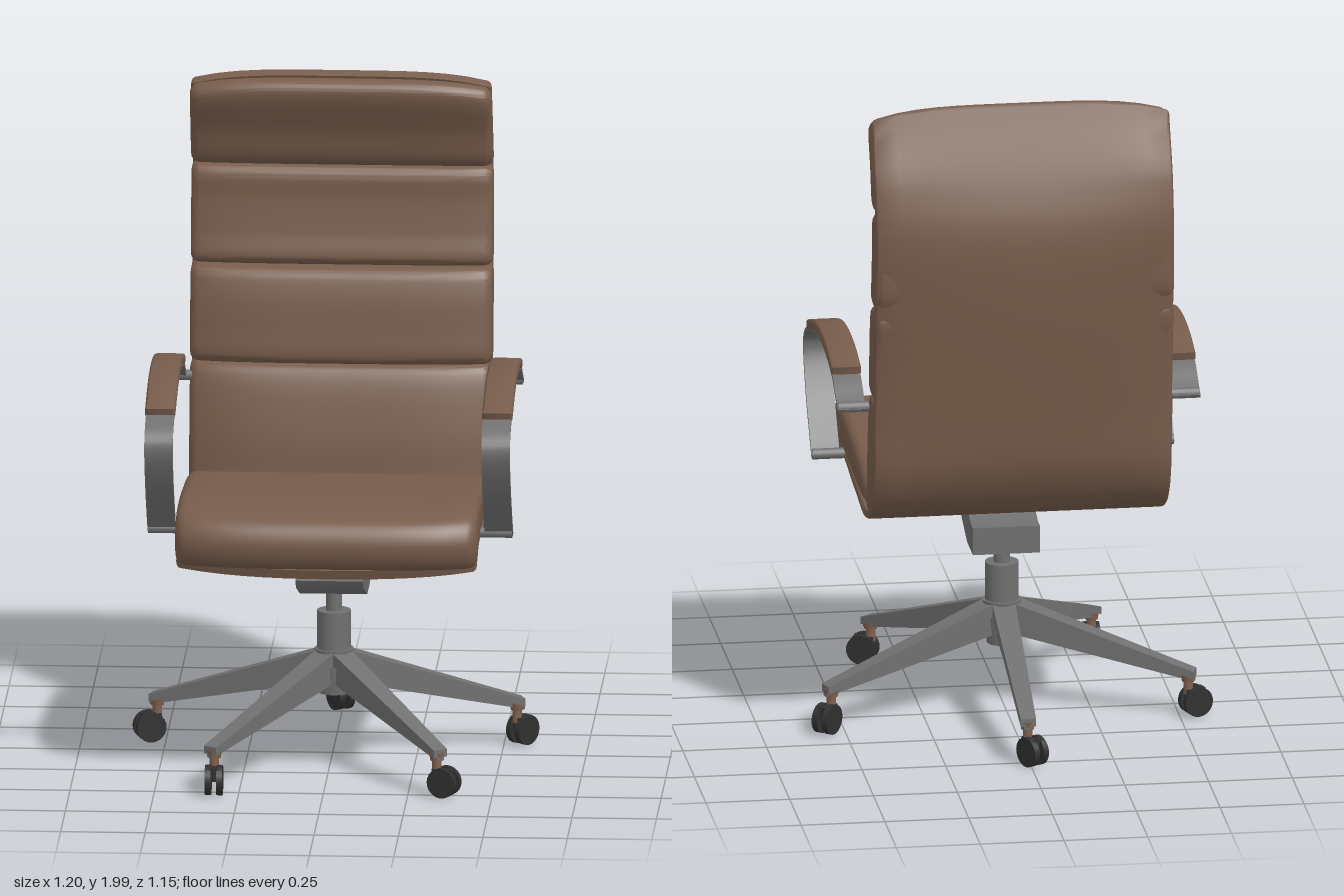
import * as THREE from 'three';
import { toCreasedNormals } from 'three/addons/utils/BufferGeometryUtils.js';

const material = (name, color, side = THREE.FrontSide) =>
  Object.assign(new THREE.MeshStandardMaterial({ color, side }), { name });

const CX = 0.007, CZ = 0.053; // axis of the seat and of the swivel column
const HALF = 0.447;           // half width of the upholstery
const smooth = THREE.MathUtils.smoothstep;

// Smooth line through [z, y] points
function spline(points, closed, count) {
  const curve = new THREE.CatmullRomCurve3(points.map(([z, y]) => new THREE.Vector3(z, y, 0)), closed);
  const list = curve.getPoints(count).map(p => new THREE.Vector2(p.x, p.y));
  if (closed) list.pop();
  return list;
}

// Closed outline of a strip of even thickness that follows a line
function strip(points, thickness, count = 48) {
  const line = spline(points, false, count);
  const side = sign => line.map((p, i) => {
    const a = line[Math.max(i - 1, 0)], b = line[Math.min(i + 1, count)];
    const t = b.clone().sub(a).normalize();
    return new THREE.Vector2(p.x - t.y * sign * thickness / 2, p.y + t.x * sign * thickness / 2);
  });
  return [...side(1), ...side(-1).reverse()];
}

// Side outline extruded across x with rounded edges, then bent by a rule
function across(outline, width, bevel, bend, steps = 14) {
  const geo = new THREE.ExtrudeGeometry(new THREE.Shape(outline), {
    depth: width - 2 * bevel, steps, bevelEnabled: bevel > 0, bevelSize: bevel,
    bevelThickness: bevel, bevelOffset: -bevel, bevelSegments: 4,
  });
  geo.translate(0, 0, bevel - width / 2).rotateY(-Math.PI / 2);
  if (bend) {
    const pos = geo.attributes.position, p = new THREE.Vector3();
    for (let i = 0; i < pos.count; i++) {
      p.fromBufferAttribute(pos, i);
      bend(p, (p.x / HALF) ** 2);
      pos.setXYZ(i, p.x, p.y, p.z);
    }
  }
  return toCreasedNormals(geo, 0.8);
}

export function createModel() {
  const leather = material('brown leather', 0x775c4b);
  const metal = material('grey metal', 0x707070);
  const black = material('black plastic', 0x303030);
  const copper = material('copper bushing', 0x80604c);
  const root = new THREE.Group();
  root.name = 'officeChair';

  const add = (parent, name, geo, mat, x = 0, y = 0, z = 0) => {
    const mesh = new THREE.Mesh(geo, mat);
    mesh.name = name;
    mesh.position.set(x, y, z);
    parent.add(mesh);
    return mesh;
  };

  // Curved front edge of the seat
  const roundFront = (p, s) => { if (p.y < 1) p.z -= 0.05 * s * s * smooth(p.z, 0.3, 0.55); };
  const roundTop = (p, s) => { p.y -= 0.03 * s * s * smooth(p.y, 1.75, 1.98); };

  // One continuous shell under the seat and behind the back
  const shellLine = [[0.51, 0.67], [0.4, 0.705], [0.25, 0.722], [0, 0.712], [-0.2, 0.7], [-0.32, 0.755],
    [-0.395, 0.87], [-0.425, 1.05], [-0.465, 1.44], [-0.463, 1.63], [-0.43, 1.76], [-0.338, 1.987]];
  add(root, 'shell', across(strip(shellLine, 0.03, 70), 0.89, 0.012, (p, s) => {
    roundFront(p, s);
    roundTop(p, s);
    if (p.z > 0) p.y += 0.02 * s * smooth(p.z, 0, 0.4);
    if (p.y > 0.8 && p.y < 1.8) p.z += 0.035 * s * Math.sin((p.y - 0.8) * Math.PI);
  }), leather, CX);

  // Seat cushion
  const seat = [[0.558, 0.77], [0.53, 0.825], [0.455, 0.85], [0.32, 0.86], [0.1, 0.845], [-0.17, 0.81],
    [-0.205, 0.79], [-0.205, 0.735], [-0.15, 0.722], [0.25, 0.735], [0.4, 0.718], [0.5, 0.685], [0.54, 0.705]];
  add(root, 'seatCushion', across(spline(seat, true, 70), 2 * HALF, 0.03, roundFront), leather, CX);

  // Four back cushions from the lumbar pad up to the headrest
  const backPads = {
    lumbarCushion: [[-0.205, 0.75], [-0.207, 0.82], [-0.222, 0.93], [-0.262, 1.08], [-0.285, 1.108], [-0.36, 1.11],
      [-0.413, 1.1], [-0.4, 0.95], [-0.365, 0.83], [-0.3, 0.745], [-0.23, 0.725]],
    lowerBackCushion: [[-0.268, 1.13], [-0.273, 1.22], [-0.29, 1.33], [-0.312, 1.385], [-0.345, 1.398],
      [-0.44, 1.39], [-0.43, 1.25], [-0.41, 1.12], [-0.29, 1.113]],
    upperBackCushion: [[-0.32, 1.42], [-0.335, 1.5], [-0.35, 1.6], [-0.355, 1.67], [-0.375, 1.693],
      [-0.447, 1.69], [-0.455, 1.6], [-0.445, 1.41], [-0.345, 1.402]],
    headCushion: [[-0.335, 1.72], [-0.3, 1.82], [-0.255, 1.92], [-0.25, 1.955], [-0.265, 1.975], [-0.295, 1.982],
      [-0.325, 1.95], [-0.4, 1.8], [-0.435, 1.71], [-0.37, 1.7]],
  };
  for (const [name, outline] of Object.entries(backPads)) {
    add(root, name, across(spline(outline, true, 60), 2 * HALF, 0.025, (p, s) => {
      roundTop(p, s);
      if (p.z > -0.42) p.z = -0.42 + (p.z + 0.42) * (1 - 0.2 * s * s);
    }), leather, CX);
  }

  // Armrests: bent metal band, padded top and pins into the upholstery
  const bandLine = [[-0.325, 1.06], [-0.28, 1.085], [-0.2, 1.13], [0, 1.163], [0.19, 1.148], [0.35, 1.1],
    [0.415, 1.06], [0.428, 1.02], [0.375, 0.9], [0.28, 0.775], [0.245, 0.735]];
  const padLine = [[-0.205, 1.143], [-0.1, 1.167], [0, 1.176], [0.1, 1.174], [0.19, 1.161], [0.345, 1.114]];
  const band = across(strip(bandLine, 0.012, 60), 0.084, 0, null, 1);
  const armPad = across(strip(padLine, 0.032), 0.09, 0.01, null, 1);
  const pin = new THREE.CylinderGeometry(0.016, 0.016, 0.11, 16).rotateZ(Math.PI / 2);
  for (const side of [1, -1]) {
    const arm = new THREE.Group();
    arm.name = side > 0 ? 'leftArmrest' : 'rightArmrest';
    arm.position.x = CX + side * 0.499;
    root.add(arm);
    add(arm, 'armBand', band, metal);
    add(arm, 'armPad', armPad, leather);
    add(arm, 'backPin', pin, metal, -side * 0.015, 1.068, -0.31);
    add(arm, 'seatPin', pin, metal, -side * 0.015, 0.742, 0.25);
  }

  // Tilt mechanism under the seat
  const tilt = [[0.27, 0.715], [0.305, 0.6], [0.29, 0.575], [0.08, 0.505], [-0.05, 0.505], [-0.05, 0.588],
    [0, 0.588], [0.1, 0.625], [0.16, 0.66], [0.21, 0.715]].map(([z, y]) => new THREE.Vector2(z, y));
  add(root, 'tiltMechanism', across(tilt, 0.2, 0, null, 1), metal, CX);

  // Swivel column and five-star base
  const base = new THREE.Group();
  base.name = 'base';
  base.position.set(CX, 0, CZ);
  root.add(base);
  const tube = (r, h, rb = r) => new THREE.CylinderGeometry(r, rb, h, 28);
  add(base, 'piston', tube(0.024, 0.1), metal, 0, 0.48);
  add(base, 'column', tube(0.05, 0.12), metal, 0, 0.39);
  add(base, 'hub', tube(0.058, 0.135, 0.045), metal, 0, 0.267);

  // Tapered leg piece along +z: top, bottom and width at hub and tip
  const taper = (top, bottom, width) => {
    const geo = new THREE.BoxGeometry(1, 1, 1), pos = geo.attributes.position;
    for (let i = 0; i < pos.count; i++) {
      const end = pos.getZ(i) > 0 ? 1 : 0;
      pos.setXYZ(i, pos.getX(i) * width[end], pos.getY(i) > 0 ? top[end] : bottom[end], end ? 0.58 : 0.02);
    }
    geo.computeVertexNormals();
    return geo;
  };
  const plate = taper([0.338, 0.145], [0.3, 0.122], [0.07, 0.046]);
  const rib = taper([0.32, 0.135], [0.235, 0.112], [0.045, 0.024]);
  const wheel = new THREE.CylinderGeometry(0.045, 0.045, 0.018, 24).rotateZ(Math.PI / 2);
  const hood = new THREE.CylinderGeometry(0.043, 0.043, 0.022, 16, 1, false, -Math.PI / 2, Math.PI)
    .rotateZ(Math.PI / 2).rotateX(-Math.PI / 2);
  const headings = [[-0.5, -0.83], [-0.94, 0.33], [0, 1], [0.87, 0.35], [0.63, -0.77]];

  headings.forEach(([hx, hz], k) => {
    const angle = Math.PI + k * Math.PI * 0.4;
    const leg = new THREE.Group();
    leg.name = 'leg' + (k + 1);
    leg.rotation.y = angle;
    base.add(leg);
    add(leg, 'legPlate', plate, metal);
    add(leg, 'legRib', rib, metal);

    // Twin-wheel caster turned to its own heading
    const caster = new THREE.Group();
    caster.name = 'caster' + (k + 1);
    caster.position.set(Math.sin(angle) * 0.56, 0, Math.cos(angle) * 0.56);
    caster.rotation.y = Math.atan2(hx, hz);
    base.add(caster);
    add(caster, 'bushing', tube(0.023, 0.025, 0.019), copper, 0, 0.122);
    add(caster, 'stem', tube(0.014, 0.05), copper, 0, 0.095);
    for (const x of [-0.017, 0.017]) add(caster, 'wheel', wheel, black, x, 0.046, 0.024);
    add(caster, 'casterBody', new THREE.BoxGeometry(0.03, 0.04, 0.06), black, 0, 0.066, 0.02);
  });
  return root;
}
